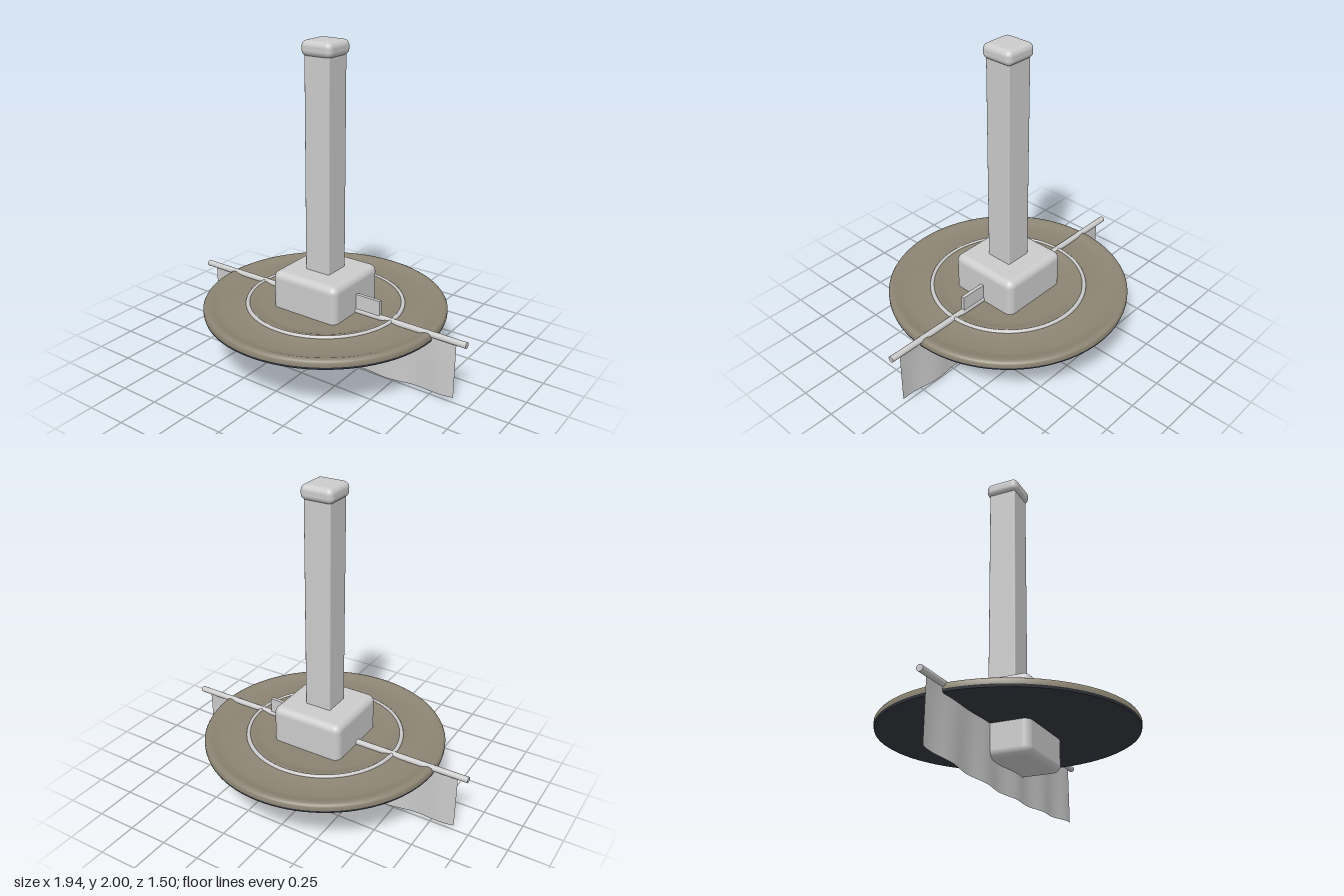
import * as THREE from 'three';
import { RoundedBoxGeometry } from 'three/addons/geometries/RoundedBoxGeometry.js';
import { toCreasedNormals } from 'three/addons/utils/BufferGeometryUtils.js';

const grey = new THREE.MeshStandardMaterial({ color: 0xcccccc });
const clothGrey = new THREE.MeshStandardMaterial({ color: 0xcccccc, side: THREE.DoubleSide });
const brown = new THREE.MeshStandardMaterial({ color: 0x8c8473 });
const dark = new THREE.MeshStandardMaterial({ color: 0x343840 });

export function createModel() {
  const model = new THREE.Group();

  const add = (name, geometry, material, x = 0, y = 0, z = 0) => {
    const mesh = new THREE.Mesh(geometry, material);
    mesh.name = name;
    mesh.position.set(x, y, z);
    model.add(mesh);
    return mesh;
  };
  const lathe = (points) => toCreasedNormals(
    new THREE.LatheGeometry(points.map(([r, y]) => new THREE.Vector2(r, y)), 96), 0.7);

  // Square post with a soft cap
  add('post', new RoundedBoxGeometry(0.172, 1.36, 0.172, 2, 0.008), grey, 0, 1.25);
  add('postCap', new RoundedBoxGeometry(0.21, 0.09, 0.21, 4, 0.035), grey, 0, 1.955);

  // Rounded block gripping the post and the disc
  add('hubBlock', new RoundedBoxGeometry(0.466, 0.466, 0.466, 4, 0.045), grey, 0, 0.385);

  // Disc: shallow recessed top between raised rims, dark underside
  add('discTop', lathe([
    [0.75, 0.365], [0.75, 0.388], [0.744, 0.398], [0.73, 0.404], [0.71, 0.403],
    [0.68, 0.391], [0.65, 0.387], [0.53, 0.387], [0.495, 0.395], [0.465, 0.402],
    [0.445, 0.4], [0.42, 0.39], [0.39, 0.386], [0, 0.386],
  ]), brown);
  add('discUnderside', lathe([
    [0, 0.345], [0.738, 0.345], [0.746, 0.35], [0.75, 0.365],
  ]), dark);

  // Inlaid ring on the disc
  const ring = add('ring', new THREE.TorusGeometry(0.478, 0.013, 10, 96), grey, 0, 0.396);
  ring.rotation.x = Math.PI / 2;

  // Rod that carries the cloth
  const rod = add('rod', new THREE.CylinderGeometry(0.019, 0.019, 1.94, 16), grey, 0, 0.395);
  rod.rotation.z = Math.PI / 2;

  // Hanging cloth: ripples grow downward, hem sags at the centre
  const cloth = new THREE.PlaneGeometry(1.81, 1, 120, 10);
  const p = cloth.attributes.position;
  for (let i = 0; i < p.count; i++) {
    const x = p.getX(i);
    const drop = 0.5 - p.getY(i);
    const hem = 0.034 * (x / 0.905) ** 2;
    p.setY(i, 0.39 - drop * (0.39 - hem));
    p.setZ(i, 0.009 * Math.sqrt(drop) * Math.sin(x * 17));
  }
  cloth.computeVertexNormals();
  add('cloth', cloth, clothGrey);

  // Thin side bracket beside the block
  add('bracket', new THREE.BoxGeometry(0.19, 0.095, 0.022), grey, 0.305, 0.457);
  add('bracketTongue', new THREE.BoxGeometry(0.09, 0.17, 0.022), grey, 0.315, 0.335);

  return model;
}
